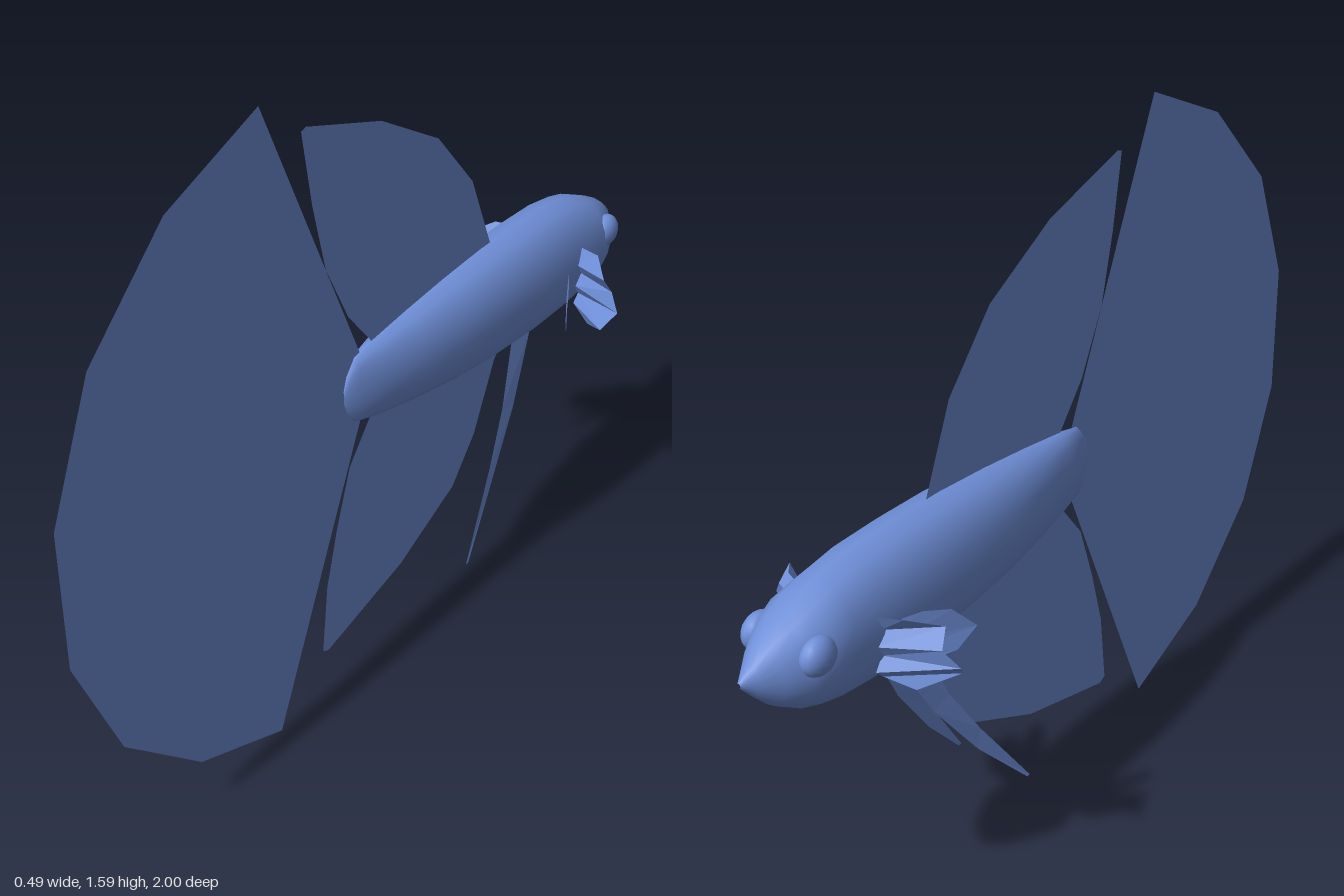
import * as THREE from 'three';

const scaleBlue = new THREE.MeshStandardMaterial({ color: 0x6f8fd8 });
scaleBlue.name = 'scaleBlue';
const finBlue = scaleBlue.clone();
finBlue.name = 'finBlue';
finBlue.side = THREE.DoubleSide;

function add(parent, name, geometry, material) {
  const mesh = new THREE.Mesh(geometry, material);
  mesh.name = name;
  parent.add(mesh);
  return mesh;
}

// Smooth body through oval sections: [z, top y, bottom y, half width]
function bodyGeometry() {
  const sections = [
    [-1, 0.795, 0.785, 0.004], [-0.97, 0.82, 0.75, 0.026], [-0.93, 0.853, 0.708, 0.055],
    [-0.88, 0.88, 0.677, 0.085], [-0.83, 0.902, 0.66, 0.1], [-0.77, 0.92, 0.643, 0.098],
    [-0.68, 0.934, 0.634, 0.101], [-0.55, 0.937, 0.632, 0.102], [-0.4, 0.935, 0.64, 0.099],
    [-0.25, 0.925, 0.655, 0.089], [-0.1, 0.91, 0.677, 0.069], [0.02, 0.895, 0.697, 0.045],
    [0.09, 0.883, 0.713, 0.024], [0.12, 0.845, 0.755, 0.01], [0.13, 0.81, 0.785, 0.002],
  ];
  const n = 16, pos = [], index = [];
  for (const [z, top, bottom, w] of sections) {
    for (let j = 0; j < n; j++) {
      const a = (j / n) * Math.PI * 2;
      const c = Math.cos(a);
      pos.push(w * Math.sign(c) * Math.abs(c) ** 0.9,
        (top + bottom) / 2 + ((top - bottom) / 2) * Math.sin(a), z);
    }
  }
  for (let i = 0; i < sections.length - 1; i++) {
    for (let j = 0; j < n; j++) {
      const a = i * n + j, b = i * n + (j + 1) % n;
      index.push(a, b, a + n, b, b + n, a + n);
    }
  }
  const g = new THREE.BufferGeometry();
  g.setAttribute('position', new THREE.Float32BufferAttribute(pos, 3));
  g.setIndex(index);
  g.computeVertexNormals();
  return g;
}

// Flat fin on the middle plane, outlined by [z, y] points
function flatFin(points) {
  const shape = new THREE.Shape(points.map(([z, y]) => new THREE.Vector2(z, y)));
  return new THREE.ShapeGeometry(shape).rotateY(-Math.PI / 2);
}

// Faceted strip between two matching rows of [x, y, z] points, on either side
function stripFin(rowA, rowB, side) {
  const pos = [];
  const put = (...pts) => pts.forEach(([x, y, z]) => pos.push(x * side, y, z));
  for (let i = 0; i < rowA.length - 1; i++) {
    put(rowA[i], rowB[i], rowA[i + 1]);
    put(rowA[i + 1], rowB[i], rowB[i + 1]);
  }
  const g = new THREE.BufferGeometry();
  g.setAttribute('position', new THREE.Float32BufferAttribute(pos, 3));
  g.computeVertexNormals();
  return g;
}

export function createModel() {
  const fish = new THREE.Group();
  fish.name = 'fish';
  add(fish, 'body', bodyGeometry(), scaleBlue);

  // Large fins on the middle plane
  add(fish, 'tailFin', flatFin([
    [0.07, 0.885], [0.38, 1.585], [0.655, 1.47], [0.88, 1.25], [1, 0.96], [1, 0.63],
    [0.88, 0.335], [0.655, 0.115], [0.38, 0], [0.07, 0.705],
  ]), finBlue);
  add(fish, 'dorsalFin', flatFin([
    [0, 0.87], [0.02, 0.885], [0.11, 0.995], [0.185, 1.145], [0.225, 1.31], [0.255, 1.485],
    [0.24, 1.49], [-0.01, 1.41], [-0.22, 1.29], [-0.36, 1.13], [-0.445, 0.93], [-0.44, 0.87],
  ]), finBlue);
  add(fish, 'analFin', flatFin([
    [0, 0.74], [0.03, 0.7], [0.11, 0.6], [0.16, 0.455], [0.2, 0.31], [0.22, 0.13],
    [0.2, 0.12], [-0.09, 0.195], [-0.31, 0.3], [-0.4, 0.41], [-0.5, 0.63], [-0.48, 0.7],
  ]), finBlue);

  for (const side of [1, -1]) {
    const label = side > 0 ? 'left' : 'right';

    // Slight swelling around the eye
    const eye = add(fish, label + 'Eye', new THREE.SphereGeometry(1, 16, 12), scaleBlue);
    eye.scale.set(0.03, 0.042, 0.045);
    eye.position.set(0.075 * side, 0.812, -0.862);

    // Pleated fan behind the head
    add(fish, label + 'PectoralFin', stripFin(
      [[0.09, 0.83, -0.72], [0.09, 0.79, -0.7], [0.09, 0.76, -0.72],
        [0.09, 0.73, -0.7], [0.09, 0.7, -0.72], [0.09, 0.68, -0.7]],
      [[0.15, 0.835, -0.7], [0.205, 0.81, -0.64], [0.215, 0.77, -0.665],
        [0.245, 0.73, -0.645], [0.22, 0.69, -0.61], [0.15, 0.655, -0.67]], side), finBlue);

    // Smaller fan behind it
    add(fish, label + 'InnerPectoralFin', stripFin(
      [[0.09, 0.79, -0.665], [0.09, 0.76, -0.665], [0.09, 0.74, -0.665],
        [0.09, 0.71, -0.665], [0.09, 0.69, -0.665]],
      [[0.125, 0.8, -0.61], [0.155, 0.79, -0.56], [0.18, 0.735, -0.51],
        [0.16, 0.69, -0.55], [0.115, 0.68, -0.63]], side), finBlue);

    // Long slender blade under the belly
    add(fish, label + 'PelvicFin', stripFin(
      [[0.025, 0.68, -0.53], [0.03, 0.63, -0.51], [0.05, 0.48, -0.45],
        [0.07, 0.35, -0.37], [0.1, 0.15, -0.23]],
      [[0.025, 0.68, -0.62], [0.03, 0.63, -0.595], [0.05, 0.46, -0.5],
        [0.07, 0.3, -0.38], [0.1, 0.15, -0.24]], side), finBlue);
  }
  return fish;
}
